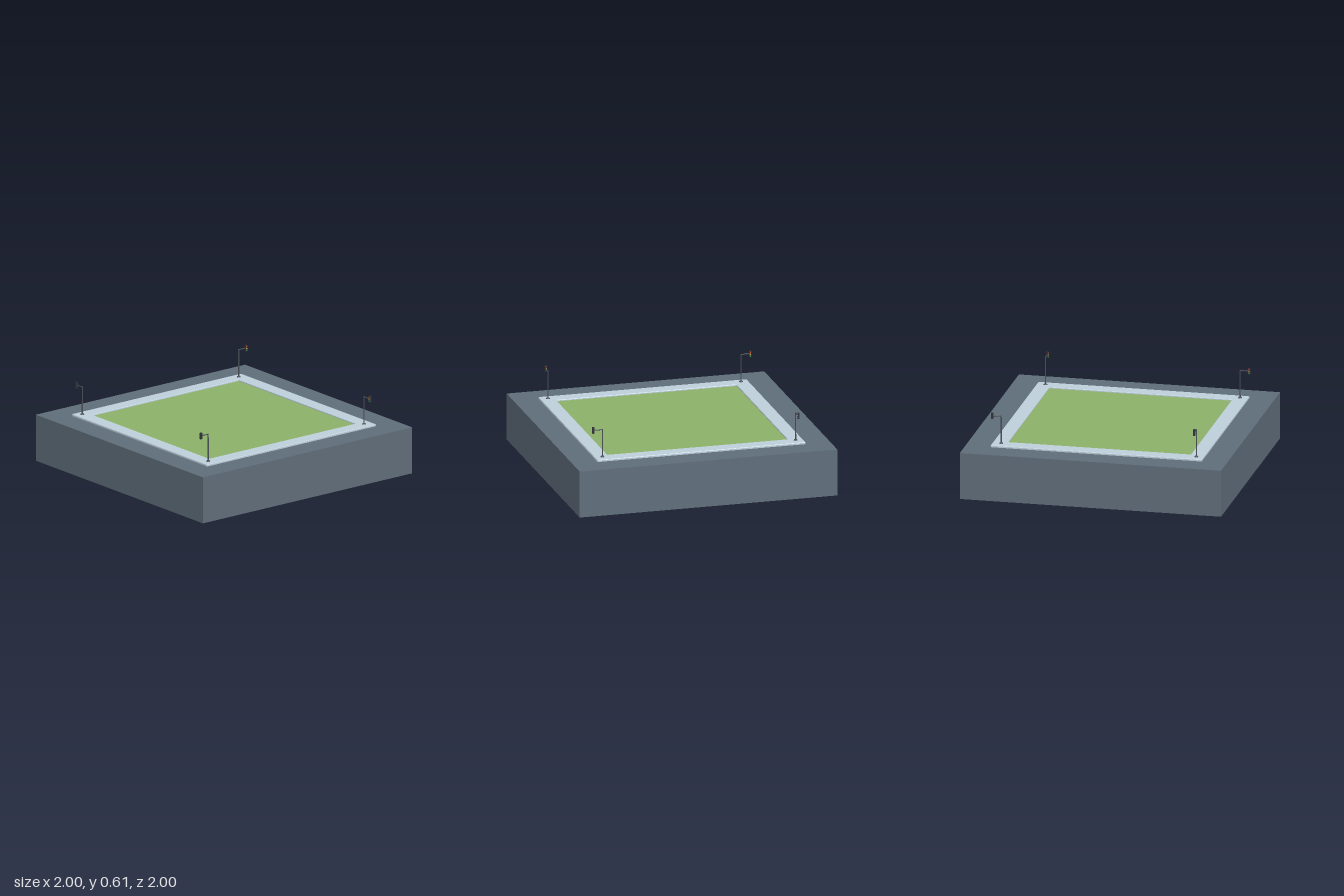
import * as THREE from 'three';

const mat = (color) => new THREE.MeshStandardMaterial({ color });
const M = {
  road: mat(0x5f6d7a), pavement: mat(0xbdcfda), grass: mat(0x8bb168),
  metal: mat(0x4a5058), housing: mat(0x30353a),
  red: mat(0xd03a30), amber: mat(0xe0a030), green: mat(0x35a050),
};

function part(name, geometry, material, x = 0, y = 0, z = 0) {
  const mesh = new THREE.Mesh(geometry, material);
  mesh.name = name;
  mesh.position.set(x, y, z);
  return mesh;
}

// Square outline with rounded corners
function roundedSquare(path, h, r) {
  path.moveTo(-h + r, -h);
  path.lineTo(h - r, -h).quadraticCurveTo(h, -h, h, -h + r);
  path.lineTo(h, h - r).quadraticCurveTo(h, h, h - r, h);
  path.lineTo(-h + r, h).quadraticCurveTo(-h, h, -h, h - r);
  path.lineTo(-h, -h + r).quadraticCurveTo(-h, -h, -h + r, -h);
  return path;
}

// Pavement ring with a slightly bevelled kerb
function pavement() {
  const shape = roundedSquare(new THREE.Shape(), 0.805, 0.005);
  shape.holes.push(roundedSquare(new THREE.Path(), 0.703, 0.008));
  const geo = new THREE.ExtrudeGeometry(shape, {
    depth: 0.011, bevelThickness: 0.004, bevelSize: 0.004, bevelSegments: 1, curveSegments: 4,
  });
  geo.rotateX(-Math.PI / 2);
  return part('pavement', geo, M.pavement, 0, 0.36, 0);
}

// Pole with an arm along +x and a signal head facing +z; origin at the pole foot
function trafficLight() {
  const g = new THREE.Group();
  g.name = 'trafficLight';
  g.add(part('poleFoot', new THREE.CylinderGeometry(0.012, 0.015, 0.007, 12), M.metal, 0, 0.0035, 0));
  g.add(part('pole', new THREE.CylinderGeometry(0.004, 0.005, 0.218, 10), M.metal, 0, 0.109, 0));
  const arm = part('arm', new THREE.CylinderGeometry(0.004, 0.004, 0.074, 8), M.metal, 0.035, 0.214, 0);
  arm.rotation.z = Math.PI / 2;
  g.add(arm);
  g.add(part('signalHousing', new THREE.BoxGeometry(0.016, 0.048, 0.014), M.housing, 0.07, 0.213, 0));
  ['red', 'amber', 'green'].forEach((color, i) => {
    const lamp = part(color + 'Lamp', new THREE.CylinderGeometry(0.0055, 0.0055, 0.003, 12), M[color],
      0.07, 0.228 - i * 0.015, 0.008);
    lamp.rotation.x = Math.PI / 2;
    g.add(lamp);
  });
  return g;
}

export function createModel() {
  const model = new THREE.Group();
  model.name = 'cityBlock';
  model.add(part('roadBase', new THREE.BoxGeometry(2, 0.36, 2), M.road, 0, 0.18, 0));
  model.add(pavement());
  model.add(part('lawn', new THREE.BoxGeometry(1.41, 0.004, 1.41), M.grass, 0, 0.362, 0));

  // One light per corner, each turned a quarter from the last
  [[0.75, -0.74], [-0.75, -0.74], [-0.75, 0.755], [0.75, 0.75]].forEach(([x, z], i) => {
    const light = trafficLight();
    light.position.set(x, 0.375, z);
    light.rotation.y = i * Math.PI / 2;
    model.add(light);
  });
  return model;
}
